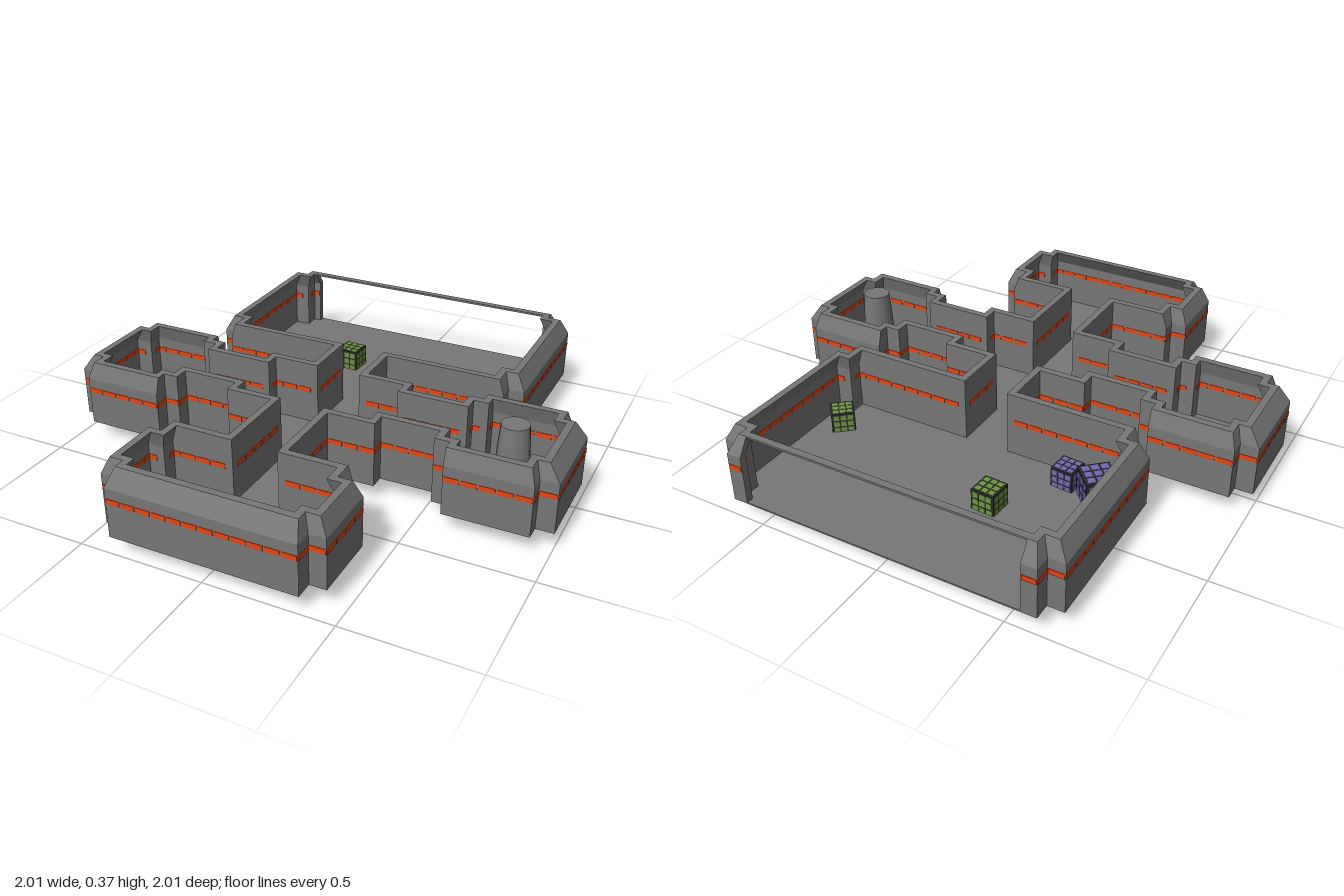
import * as THREE from 'three';
import { mergeGeometries } from 'three/addons/utils/BufferGeometryUtils.js';

const FLOOR = 0.07, SHOULDER = 0.27, TOP = 0.335, THICK = 0.028;

// Half of the floor plan from back to front: x, z, lean of the wall that starts here
const PLAN = [
  [0.56, -1, 0.045], [0.62, -1, 0.025], [0.62, -0.935, 0.025], [0.685, -0.935, 0.035],
  [0.685, -0.3, 0.02], [0.62, -0.3, 0.02], [0.62, -0.24, 0], [0.12, -0.24, 0],
  [0.12, -0.06, 0], [0.31, -0.06, 0], [0.31, 0, 0], [0.54, 0, 0],
  [0.54, -0.06, 0], [0.6, -0.06, 0], [0.6, -0.12, 0.02], [0.93, -0.12, 0.02],
  [0.93, -0.06, 0.02], [1, -0.06, 0.045], [1, 0.3, 0.02], [0.93, 0.3, 0.02],
  [0.93, 0.36, 0.02], [0.6, 0.36, 0], [0.6, 0.3, 0], [0.54, 0.3, 0],
  [0.54, 0.24, 0], [0.31, 0.24, 0], [0.31, 0.3, 0], [0.12, 0.3, 0],
  [0.12, 0.6, 0], [0.37, 0.6, 0.02], [0.37, 0.66, 0.02], [0.435, 0.66, 0.03],
  [0.435, 0.93, 0.02], [0.37, 0.93, 0.02], [0.37, 1, 0.045], [0, 1, 0],
];

// Inward direction of the wall between plan points i and i + 1
function inward(i) {
  const [x, z] = PLAN[i], [x2, z2] = PLAN[i + 1];
  const l = Math.hypot(x2 - x, z2 - z);
  return [-(z2 - z) / l, (x2 - x) / l];
}

// Six-point wall section at a plan corner, each neighbouring wall keeping its own lean
function section(i, side) {
  const at = (y, lean, thick) => {
    let [x, z] = PLAN[i];
    for (const e of [i - 1, i]) {
      if (e < 0 || e > PLAN.length - 2) continue;
      const n = inward(e), o = PLAN[e][2] * lean + thick;
      x += n[0] * o;
      z += n[1] * o;
    }
    return [x * side, y, z];
  };
  return [at(FLOOR, 0, 0), at(SHOULDER, 0, 0), at(TOP, 1, 0),
    at(TOP, 1, THICK), at(SHOULDER, 0, THICK), at(FLOOR, 0, THICK)];
}

function wallGeometry(side) {
  const pos = [];
  const quad = (a, b, c, d) => {
    const q = side > 0 ? [a, b, c, a, c, d] : [a, c, b, a, d, c];
    q.forEach((p) => pos.push(...p));
  };
  for (let i = 0; i < PLAN.length - 1; i++) {
    const p = section(i, side), q = section(i + 1, side);
    for (let k = 0; k < 6; k++) {
      const n = (k + 1) % 6;
      quad(p[k], p[n], q[n], q[k]);
    }
    if (i === 0) { // close the end beside the opening
      quad(p[5], p[4], p[1], p[0]);
      quad(p[4], p[3], p[2], p[1]);
    }
  }
  const g = new THREE.BufferGeometry();
  g.setAttribute('position', new THREE.Float32BufferAttribute(pos, 3));
  g.computeVertexNormals();
  return g;
}

// Dashes that show on both faces of every wall
function stripeGeometry(side) {
  const parts = [];
  for (let i = 0; i < PLAN.length - 1; i++) {
    const [x, z] = PLAN[i], [x2, z2] = PLAN[i + 1], n = inward(i);
    const length = Math.hypot(x2 - x, z2 - z);
    const count = Math.max(1, Math.round(length / 0.065));
    for (let k = 0; k < count; k++) {
      const t = (k + 0.5) / count, dash = length / count - 0.007;
      const across = THICK + 0.005;
      const g = new THREE.BoxGeometry(n[0] ? across : dash, 0.02, n[0] ? dash : across);
      g.translate((x + (x2 - x) * t + n[0] * THICK / 2) * side, 0.218,
        z + (z2 - z) * t + n[1] * THICK / 2);
      parts.push(g);
    }
  }
  return mergeGeometries(parts);
}

// Three by three panels standing proud on all faces of a unit crate
function cratePanels() {
  const parts = [];
  for (let axis = 0; axis < 3; axis++) {
    for (let u = -1; u <= 1; u++) {
      for (let v = -1; v <= 1; v++) {
        const size = [0.24, 0.24, 0.24], c = [0, 0, 0];
        size[axis] = 1.03;
        c[(axis + 1) % 3] = u * 0.3;
        c[(axis + 2) % 3] = v * 0.3;
        parts.push(new THREE.BoxGeometry(...size).translate(...c));
      }
    }
  }
  return mergeGeometries(parts);
}

export function createModel() {
  const model = new THREE.Group();
  model.name = 'roomComplex';
  const material = (name, color, extra = {}) => {
    const m = new THREE.MeshStandardMaterial({ color, ...extra });
    m.name = name;
    return m;
  };
  const grey = material('hullGrey', 0x777777, { side: THREE.DoubleSide });
  const orange = material('stripeOrange', 0xe64510);
  const dark = material('crateFrameDark', 0x2c2e2c);
  const green = material('crateGreen', 0x6c9440);
  const purple = material('cratePurple', 0x7468b0);

  const add = (name, geometry, mat, parent = model) => {
    const mesh = new THREE.Mesh(geometry, mat);
    mesh.name = name;
    parent.add(mesh);
    return mesh;
  };

  // Floor slab over the whole plan
  const left = PLAN.map(([x, z]) => new THREE.Vector2(x, z));
  const right = PLAN.slice(0, -1).reverse().map(([x, z]) => new THREE.Vector2(-x, z));
  const floor = new THREE.ExtrudeGeometry(new THREE.Shape([...left, ...right]),
    { depth: 0.006, bevelEnabled: false });
  floor.rotateX(Math.PI / 2).translate(0, FLOOR + 0.006, 0);
  add('floor', floor, grey);

  // Walls and their stripes, mirrored
  for (const [label, side] of [['left', 1], ['right', -1]]) {
    add(label + 'Walls', wallGeometry(side), grey);
    add(label + 'Stripe', stripeGeometry(side), orange);
  }

  // Thin lintel over the open back
  add('backLintel', new THREE.BoxGeometry(1.16, 0.008, THICK), grey)
    .position.set(0, TOP - 0.004, -0.941);

  // Barrel-shaped column through the floor
  const column = [[0, 0], [0.053, 0], [0.058, 0.07], [0.065, 0.18], [0.058, 0.3], [0.053, 0.365], [0, 0.365]];
  const lathe = new THREE.LatheGeometry(column.map(([r, y]) => new THREE.Vector2(r, y)), 24);
  const sharp = lathe.toNonIndexed();
  sharp.computeVertexNormals();
  add('column', sharp, grey).position.set(0.78, 0, 0.125);

  // Crates: colour, x, z, size, turn
  const panels = cratePanels();
  const core = new THREE.BoxGeometry(1, 1, 1);
  const crates = [
    [green, -0.205, -0.59, 0.095, -0.06], [green, 0.565, -0.43, 0.09, 0.72],
    [purple, -0.52, -0.365, 0.12, 0.75], [purple, -0.385, -0.335, 0.09, -0.08],
    [purple, -0.325, 0.865, 0.09, 0.6], [purple, -0.25, 0.82, 0.08, 0.3],
    [purple, -0.23, 0.935, 0.065, 0.1],
    [green, 0.335, 0.775, 0.065, 0.5], [green, 0.345, 0.845, 0.07, 0.05],
    [green, 0.32, 0.885, 0.05, 0.2],
  ];
  crates.forEach(([mat, x, z, size, turn], i) => {
    const crate = new THREE.Group();
    crate.name = 'crate' + (i + 1);
    add('crateFrame', core, dark, crate);
    add('cratePanels', panels, mat, crate);
    crate.scale.setScalar(size);
    crate.rotation.y = turn;
    crate.position.set(x, 0.066 + size / 2, z);
    model.add(crate);
  });

  return model;
}
